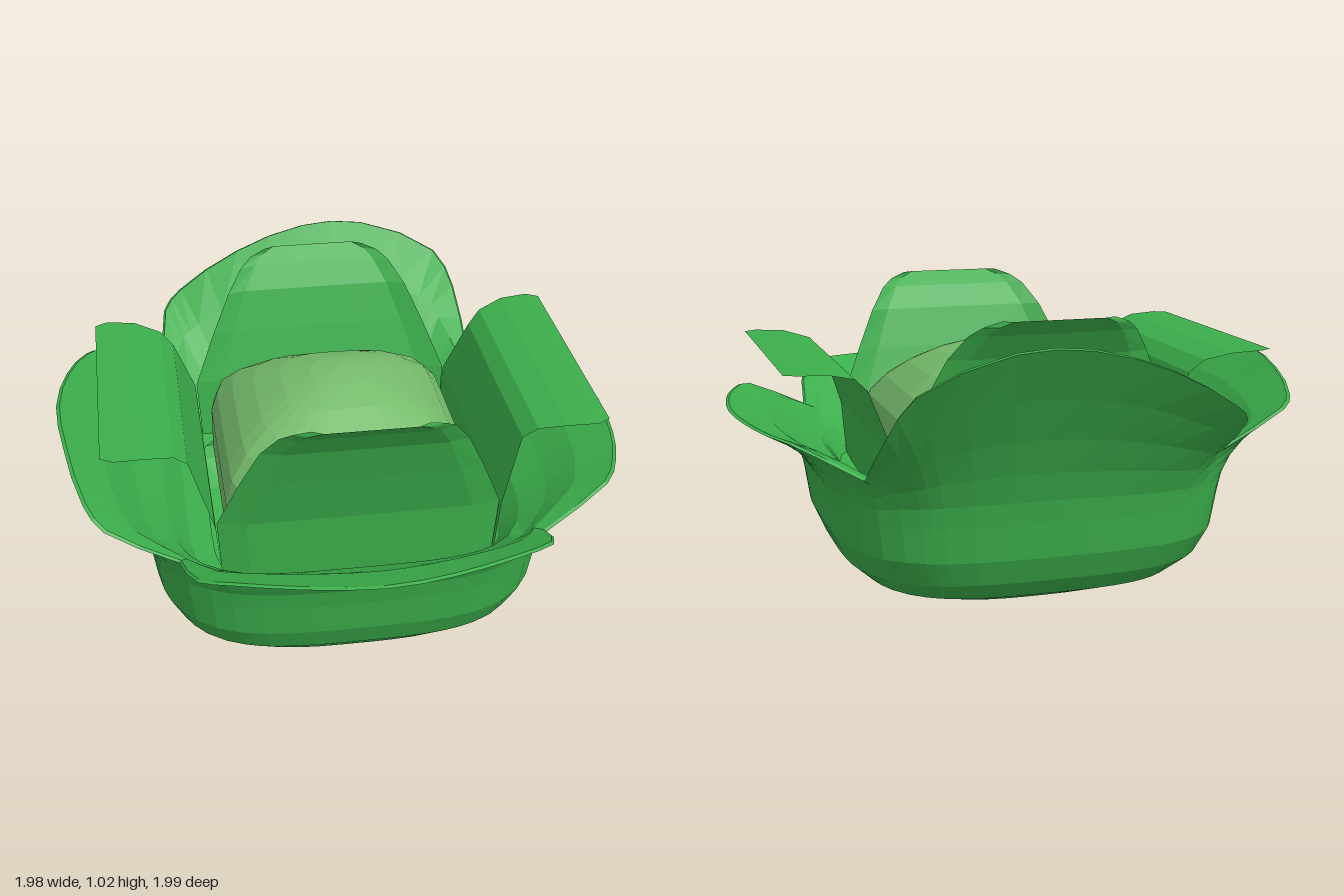
import * as THREE from 'three';

const TILT = THREE.MathUtils.degToRad(19);

// Surface through rows of equally many points
function loft(rows) {
  const n = rows[0].length, index = [];
  for (let r = 0; r < rows.length - 1; r++) {
    for (let c = 0; c < n - 1; c++) {
      const a = r * n + c, b = a + n;
      index.push(a, b, a + 1, a + 1, b, b + 1);
    }
  }
  const geo = new THREE.BufferGeometry().setFromPoints(rows.flat());
  geo.setIndex(index);
  const flat = geo.toNonIndexed();
  flat.computeVertexNormals();
  return flat;
}

// Point on a rounded-square ring of half-size s at a local angle
function ringPoint(angle, s, y, power, turn = 0) {
  const c = Math.abs(Math.cos(angle)), d = Math.abs(Math.sin(angle));
  const r = s / Math.pow(c ** power + d ** power, 1 / power);
  return new THREE.Vector3(r * Math.cos(angle + turn), y, r * Math.sin(angle + turn));
}

// Bowl profile shared by the outer leaves: [half-size, height, squareness]
const BOWL = [[0, 0, 2.6], [0.22, 0.006, 2.8], [0.41, 0.032, 3], [0.55, 0.088, 3.2],
  [0.625, 0.16, 3.4], [0.665, 0.25, 3.5], [0.683, 0.37, 3.5]];

// Rims of the outer leaves, from notch to notch
const RIMS = {
  frontOuterLeaf: [[0.39, 0.53, 0.77], [0.27, 0.65, 0.97], [0.12, 0.66, 0.99], [-0.1, 0.66, 0.98],
    [-0.31, 0.67, 0.95], [-0.52, 0.65, 0.82], [-0.7, 0.64, 0.69], [-0.78, 0.62, 0.6], [-0.75, 0.53, 0.37]],
  rightOuterLeaf: [[-0.75, 0.53, 0.37], [-0.96, 0.66, 0.28], [-0.99, 0.71, 0.18], [-0.96, 0.77, -0.08],
    [-0.9, 0.78, -0.33], [-0.78, 0.75, -0.58], [-0.64, 0.7, -0.78], [-0.56, 0.67, -0.83], [-0.34, 0.55, -0.77]],
  backOuterLeaf: [[-0.34, 0.55, -0.77], [-0.25, 0.7, -0.97], [-0.17, 0.76, -1], [0.07, 0.89, -0.97],
    [0.33, 0.97, -0.91], [0.55, 0.97, -0.83], [0.81, 0.85, -0.69], [0.855, 0.72, -0.6], [0.79, 0.53, -0.36]],
  leftOuterLeaf: [[0.79, 0.53, -0.36], [0.96, 0.64, -0.2], [0.985, 0.65, -0.1], [0.965, 0.65, 0.1],
    [0.92, 0.65, 0.31], [0.83, 0.65, 0.52], [0.73, 0.65, 0.67], [0.63, 0.64, 0.76], [0.39, 0.53, 0.77]],
};

// Outer leaf: a quarter of the bowl, flaring to its rim and folding back inside
function outerLeaf(rim) {
  const edge = new THREE.CatmullRomCurve3(rim.map(p => new THREE.Vector3(...p)), false, 'centripetal');
  const tips = Array.from({ length: 17 }, (_, i) => edge.getPoint(i / 16));
  const ring = (s, y, power) => tips.map(p => ringPoint(Math.atan2(p.z, p.x) - TILT, s, y, power, TILT));
  const rows = BOWL.map(level => ring(...level));
  const start = rows[rows.length - 1], bend = ring(0.695, 0.54, 3.6);
  const flare = tips.map((tip, i) => {
    bend[i].y = Math.min(0.54, tip.y - 0.02);
    return new THREE.QuadraticBezierCurve3(start[i], bend[i], tip);
  });
  for (const f of [0.2, 0.4, 0.6, 0.8, 1]) rows.push(flare.map(curve => curve.getPoint(f)));

  // Lip and inner face
  for (const [f, shrink, lift] of [[1, 0.988, 0.004], [0.75, 0.97, 0.012], [0.45, 0.955, 0.012]]) {
    rows.push(flare.map(curve => {
      const p = curve.getPoint(f);
      return p.set(p.x * shrink, p.y + lift, p.z * shrink);
    }));
  }
  rows.push(ring(0.61, 0.46, 4), ring(0.54, 0.37, 5), ring(0.46, 0.34, 7));
  return loft(rows);
}

// Inner leaf: rows of [distance from centre, height, half-width]
function innerLeaf(profile, bow) {
  return loft(profile.map(([out, y, half]) =>
    [-1, -0.8, -0.3, 0.3, 0.8, 1].map(t =>
      new THREE.Vector3(t * half, y, out - (Math.abs(t) === 1 ? bow : 0)))));
}

const UPRIGHT = [[0.46, 0.3, 0.46], [0.48, 0.57, 0.475], [0.53, 0.75, 0.4],
  [0.575, 0.89, 0.335], [0.625, 0.97, 0.28], [0.655, 1.0, 0.24], [0.675, 1.02, 0.185]];
const FOLDED = [[0.46, 0.3, 0.46], [0.48, 0.56, 0.47], [0.555, 0.775, 0.405],
  [0.6, 0.82, 0.43], [0.69, 0.845, 0.465], [0.79, 0.85, 0.475], [0.832, 0.85, 0.45]];

// Domed heart: [half-size, height, squareness]
const HEART = [[0, 0.864, 2.5], [0.1, 0.848, 2.5], [0.2, 0.814, 3], [0.29, 0.762, 4],
  [0.36, 0.7, 6], [0.41, 0.625, 10], [0.432, 0.54, 14], [0.432, 0.38, 14]];

export function createModel() {
  const leafGreen = new THREE.MeshStandardMaterial({ color: 0x3bae4b, flatShading: true, side: THREE.DoubleSide });
  leafGreen.name = 'leafGreen';
  const paleGreen = new THREE.MeshStandardMaterial({ color: 0x76bc6c, flatShading: true, side: THREE.DoubleSide });
  paleGreen.name = 'paleGreen';

  const model = new THREE.Group();
  model.name = 'cabbage';
  const add = (parent, name, geo, mat) => {
    const mesh = new THREE.Mesh(geo, mat);
    mesh.name = name;
    parent.add(mesh);
    return mesh;
  };

  // Outer leaves
  for (const [name, rim] of Object.entries(RIMS)) add(model, name, outerLeaf(rim), leafGreen);

  // Inner leaves, alternating upright and folded
  const core = new THREE.Group();
  core.name = 'core';
  core.position.x = 0.02;
  core.rotation.y = -TILT;
  model.add(core);
  ['frontInnerLeaf', 'leftInnerLeaf', 'backInnerLeaf', 'rightInnerLeaf'].forEach((name, i) => {
    const geo = i % 2 ? innerLeaf(FOLDED, 0) : innerLeaf(UPRIGHT, 0.02);
    add(core, name, geo, leafGreen).rotation.y = i * Math.PI / 2;
  });

  // Heart, with ring points on the diagonals
  add(core, 'heart', loft(HEART.map(([s, y, power]) =>
    Array.from({ length: 41 }, (_, i) => ringPoint(-i / 40 * Math.PI * 2, s, y, power)))), paleGreen);

  return model;
}
